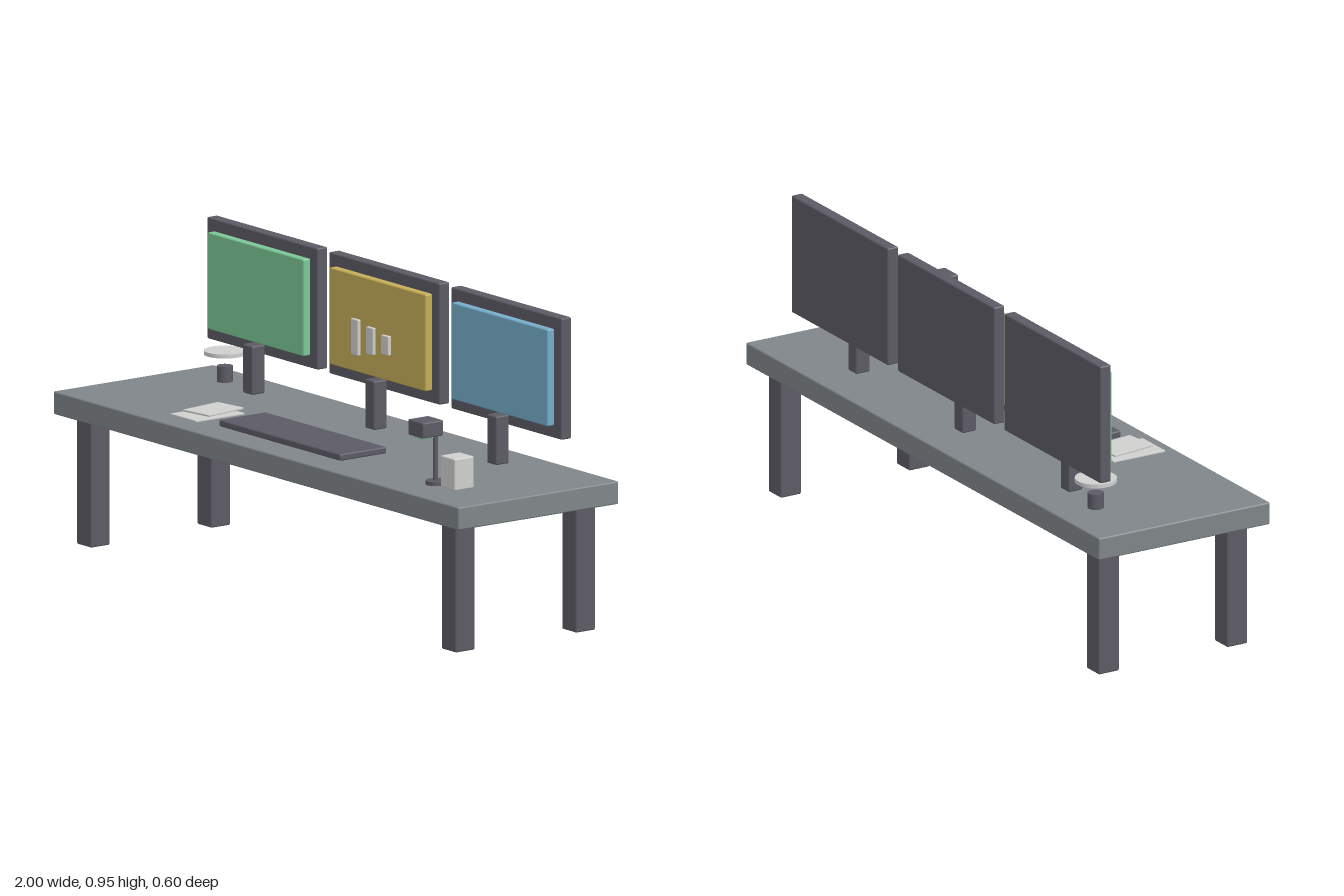
import * as THREE from 'three';
import { RoundedBoxGeometry } from 'three/addons/geometries/RoundedBoxGeometry.js';

const material = (name, color) => {
  const m = new THREE.MeshStandardMaterial({ color });
  m.name = name;
  return m;
};

export function createModel() {
  const desk = material('desk grey', 0x7f8588);
  const dark = material('dark slate', 0x5c5b65);
  const pale = material('pale grey', 0xcfcfce);
  const green = material('screen green', 0x7bc896);
  const gold = material('screen gold', 0xc5ac57);
  const blue = material('screen blue', 0x75adca);

  const model = new THREE.Group();
  model.name = 'workstation';

  const add = (parent, name, geometry, mat, x, y, z) => {
    const mesh = new THREE.Mesh(geometry, mat);
    mesh.name = name;
    mesh.position.set(x, y, z);
    parent.add(mesh);
    return mesh;
  };
  const group = (name) => {
    const g = new THREE.Group();
    g.name = name;
    model.add(g);
    return g;
  };
  // Softly bevelled box given by its extents along each axis
  const box = (parent, name, mat, [x0, x1], [y0, y1], [z0, z1]) => {
    const w = x1 - x0, h = y1 - y0, d = z1 - z0;
    const bevel = Math.min(0.005, Math.min(w, h, d) * 0.25);
    return add(parent, name, new RoundedBoxGeometry(w, h, d, 2, bevel), mat,
      (x0 + x1) / 2, (y0 + y1) / 2, (z0 + z1) / 2);
  };
  const disc = (parent, name, mat, r, y0, y1, x, z) =>
    add(parent, name, new THREE.CylinderGeometry(r, r, y1 - y0, 32), mat, x, (y0 + y1) / 2, z);

  // Desk
  const table = group('desk');
  box(table, 'deskTop', desk, [-1, 1], [0.39, 0.46], [-0.3, 0.3]);
  for (const x of [-0.9, 0.9]) {
    for (const z of [-0.225, 0.225]) {
      box(table, 'deskLeg', dark, [x - 0.036, x + 0.036], [0, 0.392], [z - 0.036, z + 0.036]);
    }
  }

  // Three monitors
  [[-0.602, green], [0, gold], [0.602, blue]].forEach(([x, screen]) => {
    const monitor = group('monitor');
    box(monitor, 'monitorFrame', dark, [x - 0.273, x + 0.273], [0.579, 0.95], [-0.218, -0.18]);
    box(monitor, 'monitorScreen', screen, [x - 0.237, x + 0.237], [0.617, 0.913], [-0.182, -0.155]);
    box(monitor, 'monitorStand', dark, [x - 0.024, x + 0.024], [0.465, 0.614], [-0.174, -0.125]);
  });

  // Chart bars on the middle screen
  const chart = group('chart');
  [[-0.101, 0.67, 0.78], [-0.026, 0.685, 0.768], [0.049, 0.697, 0.756]].forEach(([x, y0, y1]) =>
    box(chart, 'chartBar', pale, [x - 0.018, x + 0.018], [y0, y1], [-0.156, -0.144]));

  // Keyboard
  box(model, 'keyboard', dark, [-0.299, 0.299], [0.465, 0.486], [0.037, 0.211]);

  // Two sheets of paper, the upper one slightly turned
  const papers = group('papers');
  box(papers, 'lowerSheet', pale, [-0.49, -0.363], [0.47, 0.476], [0.067, 0.248]);
  const sheet = box(papers, 'upperSheet', pale, [-0.471, -0.362], [0.484, 0.49], [0.069, 0.217]);
  sheet.rotation.y = 0.14;

  // Small pot with a hovering plate
  const pot = group('pot');
  disc(pot, 'potBody', dark, 0.024, 0.466, 0.514, -0.778, -0.174);
  disc(pot, 'potPlate', pale, 0.063, 0.549, 0.561, -0.778, -0.174);

  // Desk lamp
  const lamp = group('lamp');
  disc(lamp, 'lampBase', dark, 0.03, 0.466, 0.478, 0.722, 0.175);
  disc(lamp, 'lampPole', dark, 0.007, 0.472, 0.632, 0.722, 0.175);
  box(lamp, 'lampHead', dark, [0.684, 0.76], [0.62, 0.668], [0.173, 0.25]);
  box(lamp, 'lampLight', green, [0.7, 0.744], [0.614, 0.622], [0.197, 0.241]);

  // Pen cup
  box(model, 'cup', pale, [0.762, 0.833], [0.465, 0.563], [0.114, 0.187]);

  return model;
}
